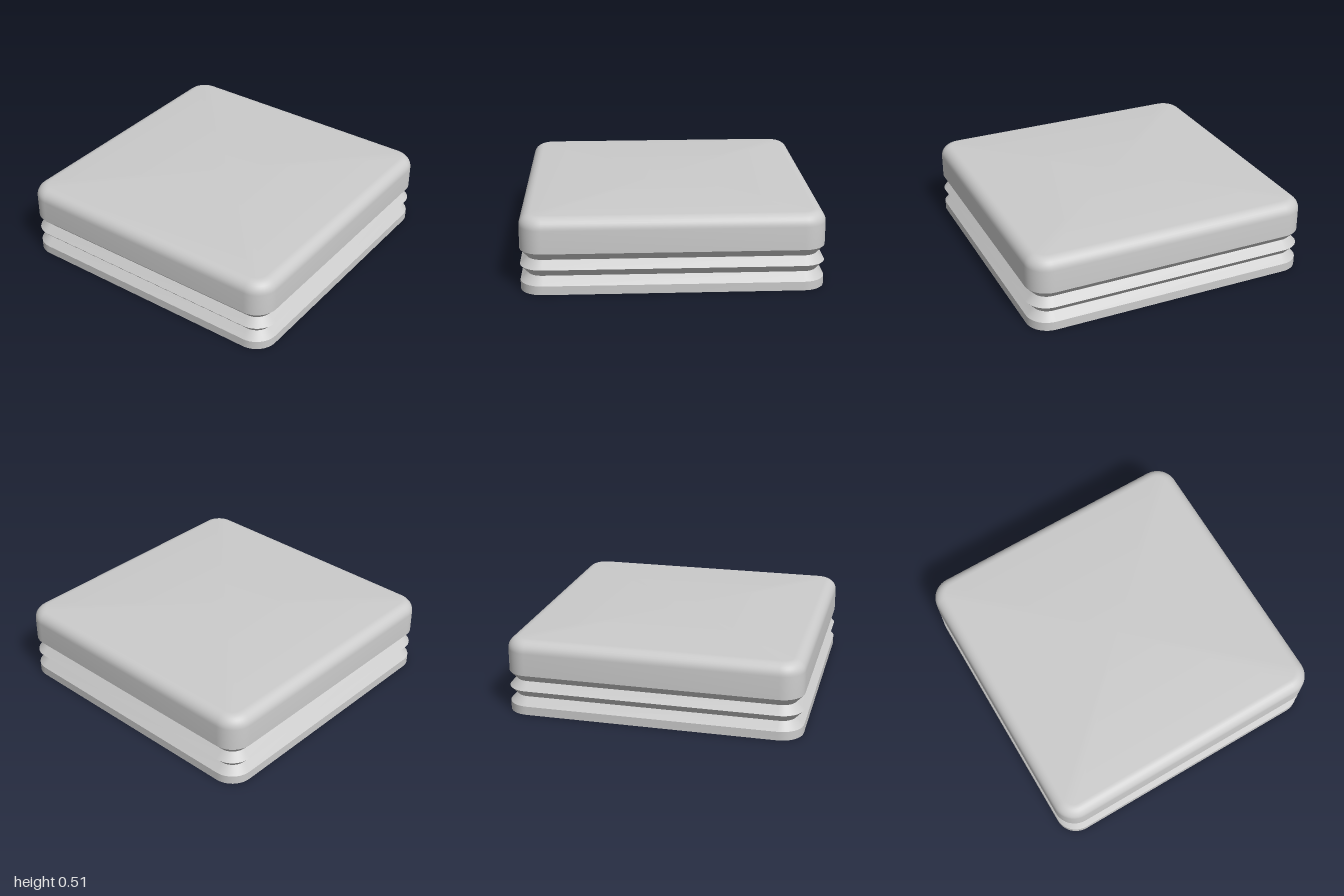
import * as THREE from 'three';
import { toCreasedNormals } from 'three/addons/utils/BufferGeometryUtils.js';

const HALF = 1;        // half the side of the square plan
const CORNER = 0.15;   // plan corner radius
const SEGS = 10;       // segments per rounded corner
const COUNT = 4 * (SEGS + 1);

// Lofts a rounded square through [inset, y] profile points, bottom to top.
function loft(profile, { bottom = false, top = false } = {}) {
  const pos = [], index = [];
  for (const [inset, y] of profile) {
    for (let q = 0; q < 4; q++) {
      const mid = (q + 0.5) * Math.PI / 2;
      const cx = Math.sign(Math.cos(mid)) * (HALF - CORNER);
      const cz = Math.sign(Math.sin(mid)) * (HALF - CORNER);
      for (let s = 0; s <= SEGS; s++) {
        const a = (q + s / SEGS) * Math.PI / 2, r = CORNER - inset;
        pos.push(cx + r * Math.cos(a), y, cz + r * Math.sin(a));
      }
    }
  }
  const last = (profile.length - 1) * COUNT;
  const under = pos.length / 3, over = under + 1;
  pos.push(0, profile[0][1], 0, 0, profile[profile.length - 1][1], 0);
  for (let j = 0; j < COUNT; j++) {
    const k = (j + 1) % COUNT;
    for (let row = 0; row < last; row += COUNT) {
      const a = row + j, b = row + k, c = a + COUNT, d = b + COUNT;
      index.push(a, c, b, b, c, d);
    }
    if (bottom) index.push(under, j, k);
    if (top) index.push(over, last + k, last + j);
  }
  const geometry = new THREE.BufferGeometry();
  geometry.setAttribute('position', new THREE.Float32BufferAttribute(pos, 3));
  geometry.setIndex(index);
  return toCreasedNormals(geometry, 0.5);
}

export function createModel() {
  const model = new THREE.Group();
  model.name = 'ribbedSquarePlug';
  const material = new THREE.MeshStandardMaterial({ color: 0xcccccc });
  const add = (name, profile, caps) => {
    const mesh = new THREE.Mesh(loft(profile, caps), material);
    mesh.name = name;
    model.add(mesh);
  };

  // Flat plate at the bottom
  add('basePlate', [[0, 0], [0, 0.06]], { bottom: true });

  // Two V-shaped grooves with a sharp rib between them
  add('grooves', [[0, 0.06], [0.05, 0.115], [0, 0.17], [0.05, 0.225], [0, 0.28]]);

  // Thick cap with a rounded upper edge
  const R = 0.08, H = 0.515, cap = [[0, 0.28]];
  for (let i = 0; i <= 8; i++) {
    const a = i / 8 * Math.PI / 2;
    cap.push([R * (1 - Math.cos(a)), H - R + R * Math.sin(a)]);
  }
  add('topCap', cap, { top: true });

  return model;
}
